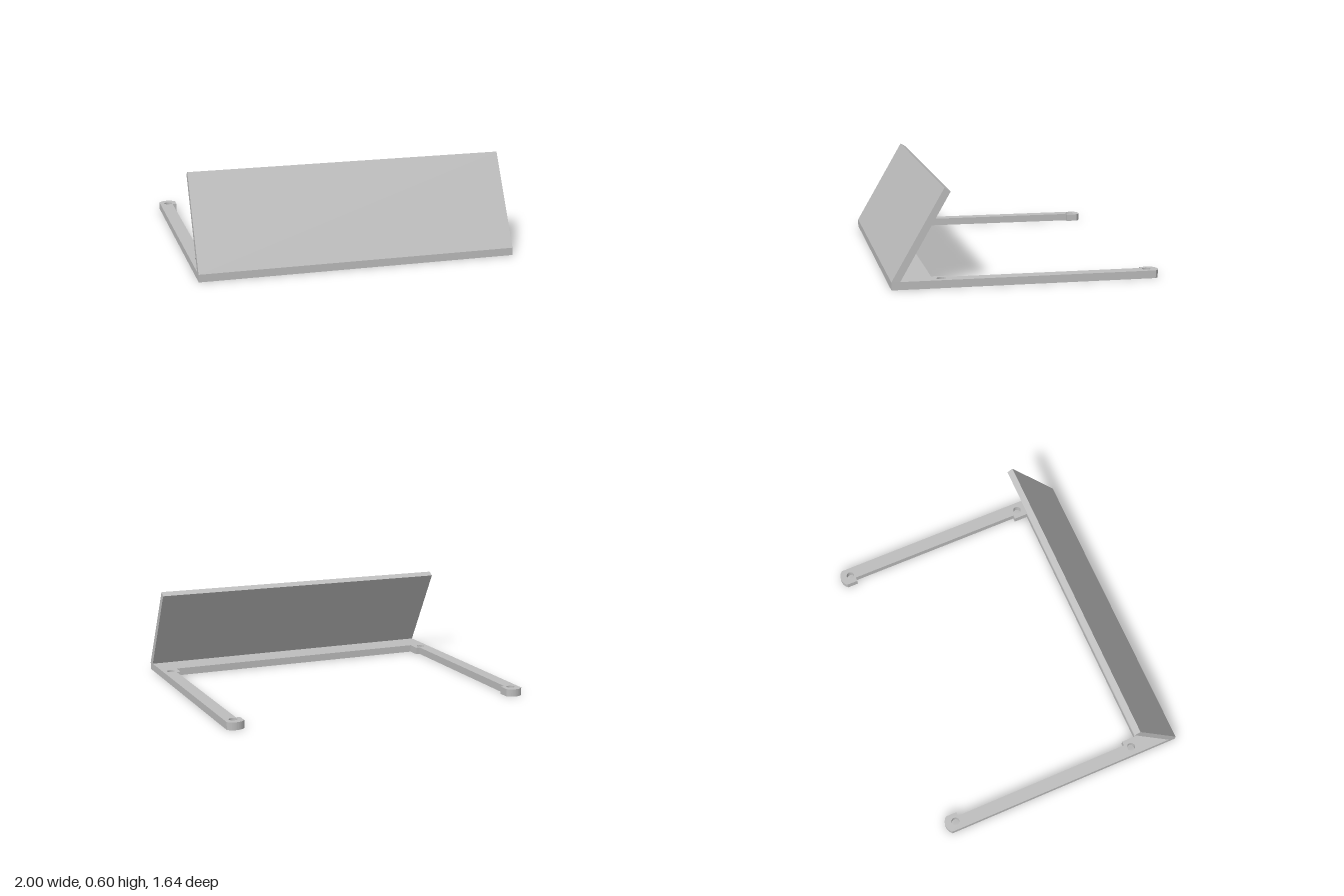
import * as THREE from 'three';

const THICK = 0.048;   // base plate thickness
const FRONT = 0.817;   // front edge z
const HOLE_X = 0.945;  // screw hole position
const REAR_HOLE = 0.75;
const FRONT_HOLE = -0.515;

export function createModel() {
  const group = new THREE.Group();
  const grey = new THREE.MeshStandardMaterial({ color: 0xbdbdbd });
  grey.name = 'grey';

  // Flat U-shaped base, drawn in plan with shape y = -z
  const pad = 0.055, tipR = 0.07, a = Math.acos(pad / tipR);
  const right = [];
  for (let i = 0; i <= 12; i++) {
    // rounded arm tip around the rear hole
    const t = a + (Math.PI - 2 * a) * i / 12;
    right.push([HOLE_X + tipR * Math.cos(t), REAR_HOLE + tipR * Math.sin(t)]);
  }
  // inner edge of the arm with its rear and front hole tabs
  right.push([0.89, 0.72], [0.917, 0.72], [0.917, -0.475], [0.89, -0.475], [0.89, -0.567]);
  const left = right.map(([x, y]) => [-x, y]).reverse();
  const outline = [[-1, -FRONT], [1, -FRONT], ...right, ...left];
  const plan = new THREE.Shape(outline.map(([x, y]) => new THREE.Vector2(x, y)));

  // Four screw holes
  for (const x of [-HOLE_X, HOLE_X]) {
    for (const y of [REAR_HOLE, FRONT_HOLE]) {
      plan.holes.push(new THREE.Path().absarc(x, y, 0.026, 0, Math.PI * 2, true));
    }
  }
  const baseGeo = new THREE.ExtrudeGeometry(plan, { depth: THICK, bevelEnabled: false, curveSegments: 16 });
  baseGeo.rotateX(-Math.PI / 2);
  const base = new THREE.Mesh(baseGeo, grey);
  base.name = 'baseFrame';
  group.add(base);

  // Leaning panel, profile drawn in (z, y) and extruded across the width
  const profile = new THREE.Shape([
    [0.765, THICK], [FRONT, THICK], [0.5, 0.597], [0.463, 0.575],
  ].map(([z, y]) => new THREE.Vector2(z, y)));
  const panelGeo = new THREE.ExtrudeGeometry(profile, { depth: 2, bevelEnabled: false });
  panelGeo.rotateY(-Math.PI / 2).translate(1, 0, 0);
  const panel = new THREE.Mesh(panelGeo, grey);
  panel.name = 'slantedPanel';
  group.add(panel);

  return group;
}
